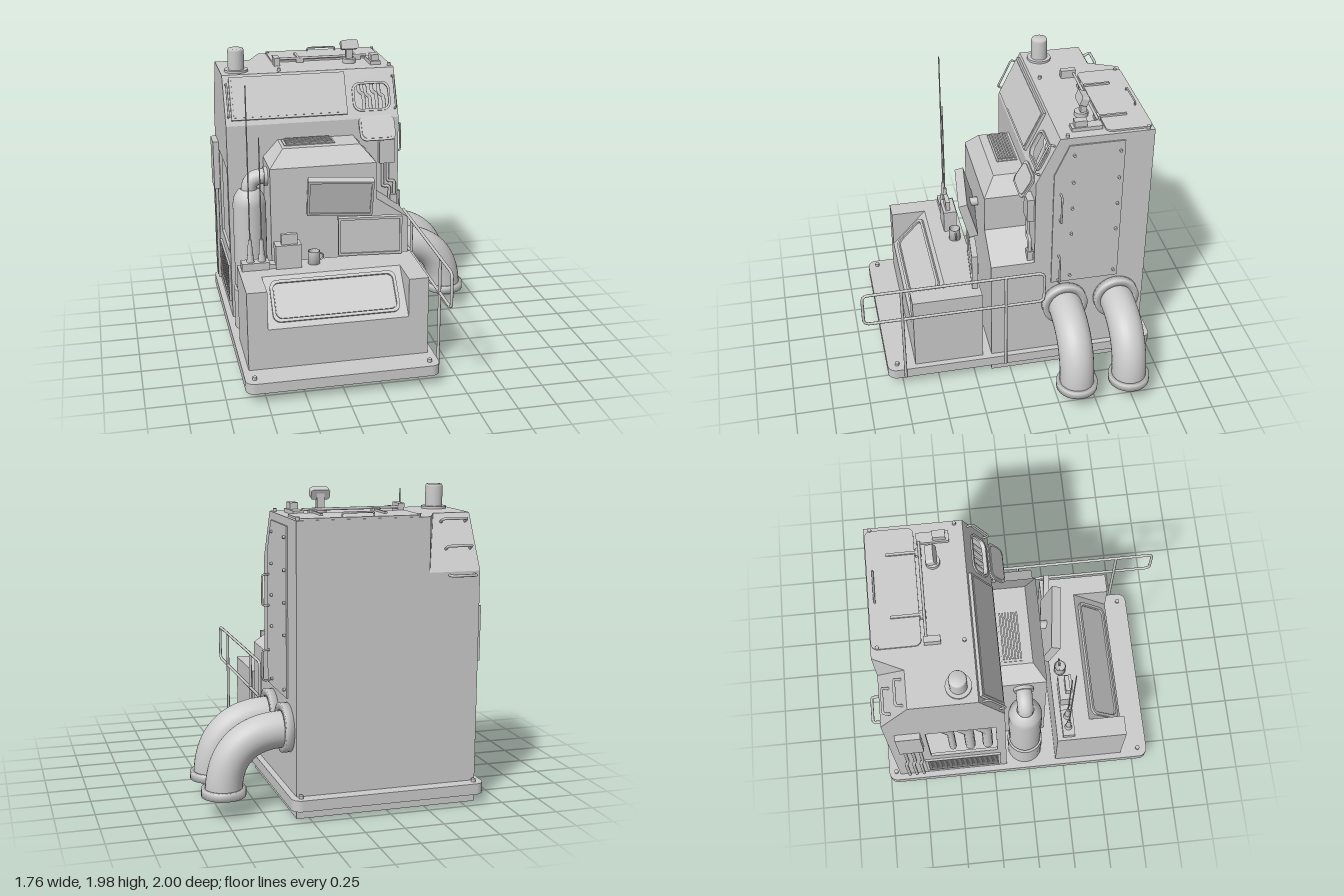
import * as THREE from 'three';
import { ConvexGeometry } from 'three/addons/geometries/ConvexGeometry.js';

const V = (x, y, z) => new THREE.Vector3(x, y, z);
const mat = new THREE.MeshStandardMaterial({ color: 0xcccccc, side: THREE.DoubleSide });

export function createModel() {
  const root = new THREE.Group();

  const add = (name, geo, parent = root) => {
    const m = new THREE.Mesh(geo, mat);
    m.name = name;
    parent.add(m);
    return m;
  };
  // box given by its min / max on each axis
  const box = (name, x0, x1, y0, y1, z0, z1, parent) => {
    const m = add(name, new THREE.BoxGeometry(x1 - x0, y1 - y0, z1 - z0), parent);
    m.position.set((x0 + x1) / 2, (y0 + y1) / 2, (z0 + z1) / 2);
    return m;
  };
  const cyl = (name, r, y0, y1, x, z, rTop = r, seg = 24) => {
    const m = add(name, new THREE.CylinderGeometry(rTop, r, y1 - y0, seg));
    m.position.set(x, (y0 + y1) / 2, z);
    return m;
  };
  // pipe along a polyline with rounded corners
  const pipe = (name, pts, r, corner = 0.03, seg = 48, sides = 8) => {
    const path = new THREE.CurvePath();
    let last = pts[0];
    for (let i = 1; i < pts.length - 1; i++) {
      const p = pts[i];
      const a = p.clone().add(pts[i - 1].clone().sub(p).setLength(corner));
      const b = p.clone().add(pts[i + 1].clone().sub(p).setLength(corner));
      path.add(new THREE.LineCurve3(last, a));
      path.add(new THREE.QuadraticBezierCurve3(a, p, b));
      last = b;
    }
    path.add(new THREE.LineCurve3(last, pts[pts.length - 1]));
    return add(name, new THREE.TubeGeometry(path, seg, r, sides));
  };
  // U-shaped grab handle from a to b, standing off by vector out
  const handle = (name, a, b, out, r = 0.007) =>
    pipe(name, [a, a.clone().add(out), b.clone().add(out), b], r, 0.015, 24);
  const poly = (pts) => new THREE.Shape(pts.map(([x, y]) => new THREE.Vector2(x, y)));
  const rounded = (x0, y0, x1, y1, r) => {
    const s = new THREE.Shape();
    s.absarc(x1 - r, y0 + r, r, -Math.PI / 2, 0);
    s.absarc(x1 - r, y1 - r, r, 0, Math.PI / 2);
    s.absarc(x0 + r, y1 - r, r, Math.PI / 2, Math.PI);
    s.absarc(x0 + r, y0 + r, r, Math.PI, Math.PI * 1.5);
    s.closePath();
    return s;
  };
  // flat plate in the plane u,v; its outer face is lifted above the plane
  const plate = (name, shape, origin, u, v, thick = 0.02, lift = 0, holes = []) => {
    shape.holes.push(...holes);
    const geo = new THREE.ExtrudeGeometry(shape, { depth: thick, bevelEnabled: false, curveSegments: 6 });
    geo.translate(0, 0, lift - thick);
    const n = u.clone().cross(v);
    return add(name, geo.applyMatrix4(new THREE.Matrix4().makeBasis(u, v, n).setPosition(origin)));
  };
  const ring = (name, ri, ro, h) => add(name, new THREE.LatheGeometry(
    [[ri, 0], [ro, 0], [ro, h], [ri, h], [ri, 0]].map(([a, b]) => new THREE.Vector2(a, b)), 32));

  const X = V(1, 0, 0), Y = V(0, 1, 0), Z = V(0, 0, 1), O = V(0, 0, 0);
  const nX = V(-1, 0, 0), nZ = V(0, 0, -1);

  // base plate, plinth and corner bolts
  plate('basePlate', rounded(-0.88, -0.85, 0.37, 1, 0.06), V(0, 0.14, 0), X, nZ, 0.07);
  box('plinth', -0.84, 0.33, 0, 0.07, -0.92, 0.13);
  for (const x of [-0.82, 0.31]) for (const z of [-0.95, 0.785]) cyl('baseBolt', 0.015, 0.14, 0.16, x, z, 0.015, 8);

  // cabinet shell with sloped brow, stepped back corner and two openings
  const slopeV = V(0, 0.31, -0.15).normalize(), slopeO = V(0, 1.51, -0.16);
  const facetV = V(0, 0.34, 0.19).normalize(), facetO = V(0, 1.48, -0.92);
  plate('cabinetRightWall', poly([[-0.67 + 0.83, 0.14], [0.92, 0.14], [0.92, 1.82], [0.31, 1.82], [0.16, 1.51]]), V(0.33, 0, 0), nZ, Y);
  plate('cabinetLeftWall', poly([[-0.92, 0.14], [-0.16, 0.14], [-0.16, 1.51], [-0.31, 1.82], [-0.73, 1.82], [-0.92, 1.48]]),
    V(-0.84, 0, 0), Z, Y, 0.02, 0, [poly([[-0.67, 0.6], [-0.22, 0.6], [-0.22, 1.2], [-0.67, 1.2]])]);
  plate('cabinetFront', poly([[-0.84, 0.14], [0.33, 0.14], [0.33, 1.51], [-0.84, 1.51]]), V(0, 0, -0.16), X, Y);
  plate('cabinetBrow', poly([[-0.84, 0], [0.33, 0], [0.33, 0.344], [-0.84, 0.344]]), slopeO, X, slopeV, 0.02, 0,
    [rounded(0.035, 0.06, 0.275, 0.24, 0.05)]);
  plate('cabinetRoof', poly([[-0.84, 0.31], [0.33, 0.31], [0.33, 0.92], [-0.51, 0.92], [-0.6, 0.73], [-0.84, 0.73]]), V(0, 1.82, 0), X, nZ);
  plate('cabinetBack', poly([[-0.33, 0.14], [0.84, 0.14], [0.84, 1.48], [0.51, 1.48], [0.51, 1.82], [-0.33, 1.82]]), V(0, 0, -0.92), nX, Y);
  plate('stepFacet', poly([[0.51, 0], [0.84, 0], [0.84, 0.3895], [0.6, 0.3895]]), facetO, nX, facetV);
  const cheek = new THREE.BufferGeometry().setFromPoints([V(-0.51, 1.48, -0.92), V(-0.6, 1.82, -0.73), V(-0.51, 1.82, -0.92)]);
  cheek.computeVertexNormals();
  add('stepCheek', cheek);
  // climbing rungs on the step
  const out = V(0, 0.022, -0.04);
  for (const t of [0.33, 0.15]) {
    const c = facetO.clone().addScaledVector(facetV, t);
    handle('rung', c.clone().setX(-0.8), c.clone().setX(-0.64), out, 0.009);
  }
  handle('rung', V(-0.8, 1.46, -0.92), V(-0.64, 1.46, -0.92), V(0, 0, -0.045), 0.009);

  // brow panel, grab bars, hatch with pipes and hanging cover
  plate('browPanel', poly([[-0.8, 0.035], [-0.02, 0.035], [-0.02, 0.325], [-0.8, 0.325]]), slopeO, X, slopeV, 0.025, 0.02);
  plate('browPanelFace', poly([[-0.785, 0.05], [-0.035, 0.05], [-0.035, 0.31], [-0.785, 0.31]]), slopeO, X, slopeV, 0.01, 0.024);
  for (const x of [-0.82, 0.31]) {
    const at = (t) => slopeO.clone().addScaledVector(slopeV, t).setX(x);
    handle('browGrabBar', at(0.06), at(0.28), V(0, 0.018, 0.037));
  }
  plate('hatchRim', rounded(0.025, 0.05, 0.285, 0.25, 0.055), slopeO, X, slopeV, 0.012, 0.01, [rounded(0.04, 0.065, 0.27, 0.235, 0.045)]);
  plate('hatchRecess', poly([[0, 0], [0.31, 0], [0.31, 0.32], [0, 0.32]]), slopeO, X, slopeV, 0.01, -0.11);
  [0.08, 0.125, 0.17, 0.22].forEach((x, i) => pipe('hatchPipe', [V(x, 1.78, -0.34), V(x, 1.67 - 0.02 * (i % 2), -0.275),
    V(x + 0.03, 1.65 - 0.02 * (i % 2), -0.27), V(x + 0.03, 1.5, -0.21)], 0.013, 0.012));
  const coverV = V(0, 0.15, -0.09).normalize();
  plate('hatchCover', rounded(0.05, 0, 0.295, 0.175, 0.045), V(0, 1.38, -0.07), X, coverV, 0.012);
  plate('hatchCoverFace', rounded(0.065, 0.015, 0.28, 0.16, 0.04), V(0, 1.38, -0.07), X, coverV, 0.01, 0.006);

  // right side door with handles and bolts
  plate('sideDoor', poly([[0.275, 0.71], [0.73, 0.71], [0.73, 1.77], [0.37, 1.77], [0.275, 1.56]]), V(0.33, 0, 0), nZ, Y, 0.02, 0.01);
  for (const y of [0.73, 1.22]) handle('doorHandle', V(0.335, y, -0.32), V(0.335, y + 0.2, -0.32), V(0.05, 0, 0));
  for (const y of [0.76, 1.1, 1.3, 1.5, 1.7]) for (const z of [-0.7, -0.4])
    cyl('doorBolt', 0.01, 0, 0.02, 0.345, z, 0.01, 8).rotateZ(Math.PI / 2).position.y = y;

  // left side: pipe bay, louvres and cable box
  box('bayBack', -0.66, -0.65, 0.5, 1.3, -0.75, -0.18);
  [[-0.55, 0.025], [-0.43, 0.035], [-0.31, 0.035]].forEach(([z, r]) => pipe('bayPipe', [V(-0.76, 1.3, z - 0.03),
    V(-0.76, 1.0, z - 0.03), V(-0.76, 0.88, z + 0.03), V(-0.76, 0.5, z + 0.03)], r, 0.04, 32, 12));
  plate('louvreFrame', poly([[-0.72, 0.24], [-0.2, 0.24], [-0.2, 0.51], [-0.72, 0.51]]), V(-0.84, 0, 0), Z, Y, 0.015, 0.015,
    [poly([[-0.7, 0.26], [-0.22, 0.26], [-0.22, 0.49], [-0.7, 0.49]])]);
  for (let i = 0; i < 7; i++) box('louvre', -0.85, -0.835, 0.27 + i * 0.032, 0.285 + i * 0.032, -0.7, -0.22);
  box('cableBox', -0.88, -0.84, 0.9, 1.25, -0.86, -0.7);
  for (const z of [-0.83, -0.78, -0.73]) pipe('cable', [V(-0.86, 0.95, z), V(-0.86, 0.6, z), V(-0.86, 0.5, z - 0.02), V(-0.86, 0.2, z - 0.02)], 0.012, 0.03);

  // roof: hatch, hinges, periscope and vent
  plate('roofHatch', rounded(-0.46, 0.615, 0.305, 0.915, 0.04), V(0, 1.82, 0), X, nZ, 0.02, 0.012);
  handle('roofHatchHandle', V(-0.165, 1.83, -0.875), V(0.035, 1.83, -0.875), V(0, 0.025, 0), 0.006);
  for (const x of [-0.27, 0.135]) {
    box('hingeStrap', x - 0.008, x + 0.008, 1.825, 1.845, -0.79, -0.58);
    box('hingeFoot', x - 0.025, x + 0.025, 1.82, 1.85, -0.61, -0.575);
  }
  pipe('hingeBar', [V(-0.42, 1.85, -0.585), V(0.2, 1.85, -0.585)], 0.009);
  box('hingeBlock', -0.46, -0.42, 1.82, 1.875, -0.6, -0.5);
  box('latchBlock', 0.19, 0.26, 1.82, 1.845, -0.6, -0.4);
  box('latchTop', 0.2, 0.25, 1.845, 1.885, -0.5, -0.42);
  cyl('periscopeFoot', 0.045, 1.82, 1.85, 0.065, -0.51);
  box('periscopeColumn', 0.042, 0.088, 1.85, 1.94, -0.54, -0.5);
  const head = plate('periscopeHead', rounded(-0.06, -0.032, 0.06, 0.032, 0.015), O, X, Y, 0.05);
  head.position.set(0.065, 1.95, -0.49);
  head.rotation.x = -0.35;
  cyl('ventFlange', 0.08, 1.82, 1.835, -0.73, -0.42);
  add('ventStack', new THREE.LatheGeometry([[0.055, 0], [0.055, 0.13], [0.05, 0.145], [0, 0.148]].map((p) => new THREE.Vector2(...p)), 24))
    .position.set(-0.73, 1.83, -0.42);
  for (const x of [-0.45, 0.31]) for (const z of [-0.36, -0.88]) cyl('roofBolt', 0.012, 1.82, 1.84, x, z, 0.012, 8);

  // front housing with bevelled top and side shoulder
  const hull = [];
  for (const z of [-0.17, 0.13]) for (const x of [-0.6, 0.11]) hull.push(V(x, 0.1, z), V(x, 1.29, z));
  for (const z of [-0.17, 0.05]) hull.push(V(-0.5, 1.4, z), V(0.015, 1.4, z));
  add('housing', new ConvexGeometry(hull));
  plate('housingShoulder', poly([[0.1, 0.1], [0.33, 0.1], [0.33, 0.89], [0.11, 1.04], [0.1, 1.04]]), V(0, 0, 0.13), X, Y, 0.29);
  box('grilleFrame', -0.48, -0.14, 1.4, 1.406, -0.145, -0.005);
  for (let i = 0; i < 7; i++) box('grilleSlat', -0.465, -0.155, 1.4, 1.415, -0.135 + i * 0.018, -0.125 + i * 0.018);
  box('junctionBox', 0.19, 0.295, 1.2, 1.365, -0.16, -0.115);
  for (const d of [0, 0.035]) pipe('conduit', [V(0.215 + d, 1.22, -0.135), V(0.215 + d, 1.03 + d, -0.135),
    V(0.265 + d, 1.03 + d, -0.135), V(0.265 + d, 0.85, -0.135)], 0.011, 0.02);
  box('conduitClamp', 0.265, 0.315, 0.9, 0.97, -0.155, -0.115);

  // gas tank on its pedestal with elbow pipe
  cyl('tankPedestal', 0.12, 0.14, 0.42, -0.72, -0.02);
  add('tank', new THREE.LatheGeometry([[0.1, 0.42], [0.11, 0.45], [0.11, 1.02], [0.1, 1.07], [0.075, 1.11], [0.055, 1.12]]
    .map((p) => new THREE.Vector2(...p)), 32)).position.set(-0.72, 0, -0.02);
  pipe('tankElbow', [V(-0.72, 1.08, -0.02), V(-0.72, 1.2, -0.02), V(-0.59, 1.2, -0.02)], 0.052, 0.09, 24, 20);
  cyl('elbowCollar', 0.065, 0, 0.025, -0.61, -0.02).rotateZ(Math.PI / 2).position.y = 1.2;

  // desk with sloped control panel
  box('deskEnd', -0.84, -0.71, 0.06, 0.67, 0.19, 0.66);
  box('deskEnd', 0.2, 0.33, 0.06, 0.67, 0.19, 0.66);
  plate('deskBody', poly([[-0.66, 0.06], [-0.19, 0.06], [-0.19, 0.67], [-0.42, 0.67], [-0.66, 0.41]]), V(0.2, 0, 0), nZ, Y, 0.91);
  const deskV = V(0, 0.26, -0.24).normalize(), deskO = V(0, 0.41, 0.66);
  plate('controlFrame', rounded(-0.67, 0.04, 0.155, 0.32, 0.05), deskO, X, deskV, 0.02, 0.016, [rounded(-0.65, 0.06, 0.135, 0.3, 0.04)]);
  plate('controlPanel', rounded(-0.645, 0.065, 0.13, 0.295, 0.038), deskO, X, deskV, 0.01, 0.007);

  // two angled monitors
  for (const [name, w, h, d, x, y, z, rx, ry] of [['upperMonitor', 0.43, 0.265, 0.05, -0.15, 1.1, 0.2, 0.27, -0.12],
    ['lowerMonitor', 0.425, 0.265, 0.03, 0.05, 0.812, 0.2, 0, -0.1]]) {
    const g = new THREE.Group();
    g.name = name;
    g.position.set(x, y, z);
    g.rotation.set(rx, ry, 0);
    root.add(g);
    box('monitorBody', -w / 2, w / 2, -h / 2, h / 2, -d / 2, d / 2, g);
    for (const s of [-1, 1]) {
      box('bezel', -w / 2, w / 2, s * (h / 2 - 0.008) - 0.008, s * (h / 2 - 0.008) + 0.008, d / 2, d / 2 + 0.01, g);
      box('bezel', s * (w / 2 - 0.008) - 0.008, s * (w / 2 - 0.008) + 0.008, -h / 2, h / 2, d / 2, d / 2 + 0.01, g);
    }
  }
  pipe('monitorArm', [V(-0.15, 1.1, 0.19), V(-0.15, 1.1, 0.12)], 0.03);
  box('monitorStand', 0, 0.1, 0.67, 0.75, 0.17, 0.2);

  // antennas, instrument box and cup on the desk
  box('antennaBase', -0.82, -0.64, 0.67, 0.72, 0.23, 0.31);
  for (const [x, top] of [[-0.76, 1.89], [-0.685, 1.55]]) {
    cyl('antennaFoot', 0.025, 0.72, 0.77, x, 0.27, 0.02);
    cyl('antennaInsulator', 0.018, 0.77, 0.87, x, 0.27, 0.012, 12);
    cyl('antennaRod', 0.005, 0.86, top, x, 0.27, 0.004, 6);
  }
  box('instrumentBox', -0.6, -0.43, 0.67, 0.83, 0.23, 0.32);
  box('instrumentTop', -0.56, -0.455, 0.83, 0.9, 0.27, 0.3);
  box('instrumentSide', -0.64, -0.6, 0.67, 0.7, 0.23, 0.3);
  add('cup', new THREE.LatheGeometry([[0, 0], [0.04, 0], [0.04, 0.085], [0.034, 0.085], [0.034, 0.01], [0, 0.01]]
    .map((p) => new THREE.Vector2(...p)), 20)).position.set(-0.34, 0.67, 0.26);
  add('cupHandle', new THREE.TorusGeometry(0.022, 0.006, 6, 16)).position.set(-0.3, 0.715, 0.26);

  // side railing
  pipe('railing', [V(0.38, 0.83, 0.4), V(0.38, 0.83, 1 - 0.01), V(0.38, 0.595, 0.99), V(0.38, 0.595, -0.22), V(0.38, 0.83, -0.22), V(0.38, 0.83, 0.4)],
    0.01, 0.04, 120);
  for (const z of [0.735, 0.04]) cyl('railingPost', 0.01, 0.08, 0.83, 0.38, z, 0.01, 8);

  // two exhaust hoses with flanges
  for (const z of [-0.37, -0.73]) {
    add('hose', new THREE.TubeGeometry(new THREE.CubicBezierCurve3(V(0.33, 0.52, z), V(0.6, 0.53, z), V(0.74, 0.4, z), V(0.74, 0.14, z)), 24, 0.115, 28));
    const wall = ring('hoseWallFlange', 0.11, 0.155, 0.05);
    wall.rotation.z = -Math.PI / 2;
    wall.position.set(0.33, 0.53, z);
    ring('hoseEndFlange', 0.105, 0.138, 0.05).position.set(0.74, 0.13, z);
  }
  return root;
}
